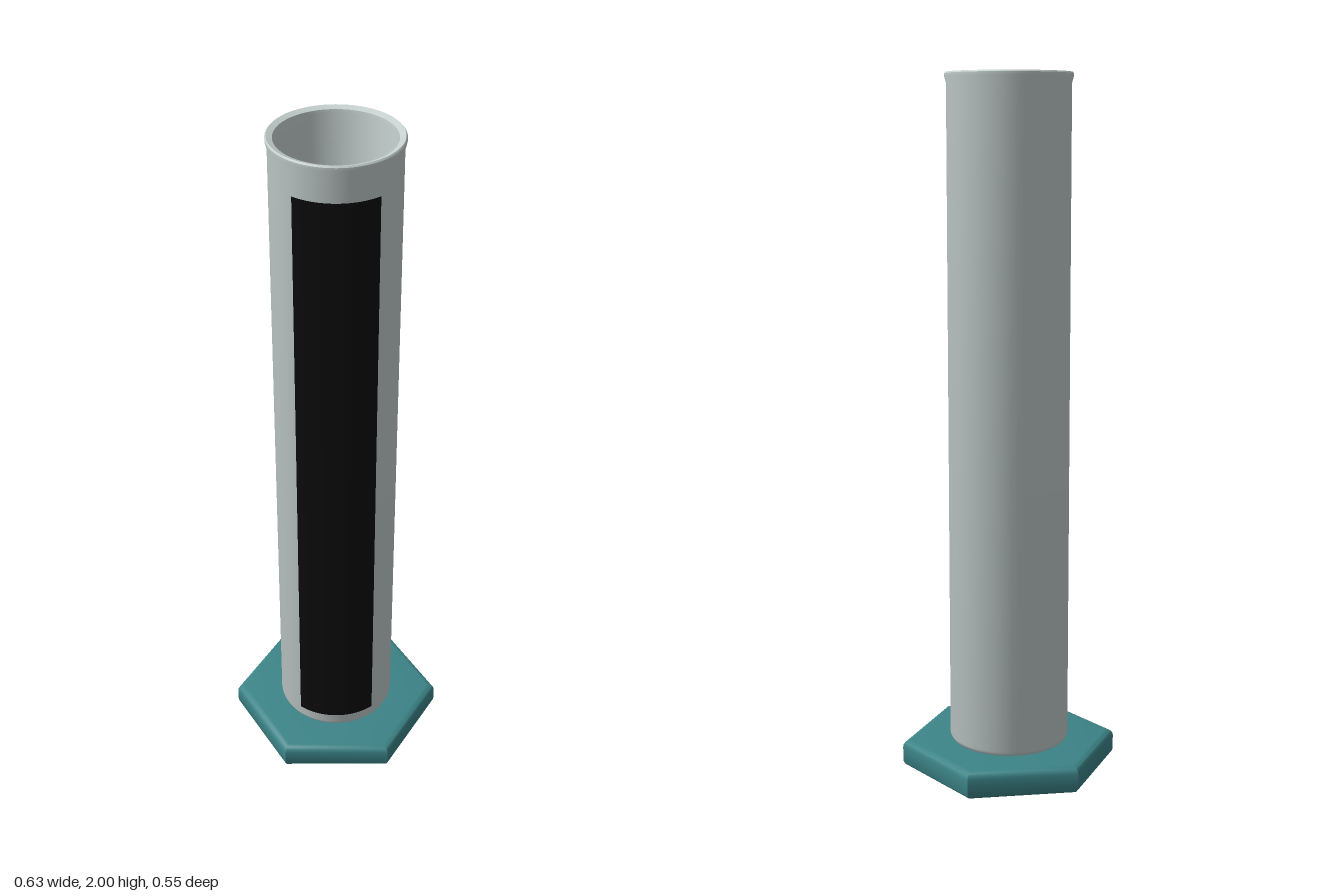
import * as THREE from 'three';
import { toCreasedNormals } from 'three/addons/utils/BufferGeometryUtils.js';

const material = (name, color, side = THREE.FrontSide) =>
  Object.assign(new THREE.MeshStandardMaterial({ color, side }), { name });

const points = (list) => list.map(([r, y]) => new THREE.Vector2(r, y));

export function createModel() {
  const glass = material('paleGlass', 0xc5d0cf);
  const teal = material('tealBase', 0x3c8488);
  const blue = material('blueLiquid', 0x45b2c6);
  const black = material('blackScale', 0x0a0a0a, THREE.DoubleSide);

  const model = new THREE.Group();
  model.name = 'measuringCylinder';
  const add = (name, geometry, mat) => {
    const mesh = new THREE.Mesh(geometry, mat);
    mesh.name = name;
    model.add(mesh);
    return mesh;
  };

  // Hexagonal foot with rounded edges, corners on the x axis
  const R = 0.315, height = 0.08, bevel = 0.02;
  const hexagon = new THREE.Shape(Array.from({ length: 6 }, (_, i) => {
    const a = (i * Math.PI) / 3;
    return new THREE.Vector2(R * Math.cos(a), R * Math.sin(a));
  }));
  const foot = new THREE.ExtrudeGeometry(hexagon, {
    depth: height - 2 * bevel, bevelThickness: bevel, bevelSize: bevel,
    bevelOffset: -bevel, bevelSegments: 4,
  });
  foot.translate(0, 0, bevel).rotateX(-Math.PI / 2);
  add('foot', toCreasedNormals(foot, 0.6), teal);

  // Hollow tube: outer wall, flared lip, then down the inner wall
  const tube = new THREE.LatheGeometry(points([
    [0.16, 0.078], [0.168, 0.083], [0.173, 0.094], [0.173, 1.97],
    [0.178, 1.988], [0.178, 1.996], [0.175, 2], [0.159, 1.994],
    [0.158, 1.985], [0.158, 0.1],
  ]), 64);
  add('tube', toCreasedNormals(tube, 0.6), glass);

  // Rounded bowl closing the bottom of the bore
  const bowl = [];
  for (let i = 0; i <= 14; i++) {
    const a = (i / 14) * Math.PI / 2;
    bowl.push([0.158 * Math.cos(a), 0.24 - 0.155 * Math.sin(a)]);
  }
  add('liquidBowl', new THREE.LatheGeometry(points(bowl), 64), blue);

  // Dark scale strip wrapped around the front of the tube
  const half = 0.68, bottom = 0.125, top = 1.9;
  const strip = new THREE.CylinderGeometry(
    0.1755, 0.1755, top - bottom, 32, 1, true, -half, 2 * half);
  add('scaleStrip', strip, black).position.y = (top + bottom) / 2;

  return model;
}
